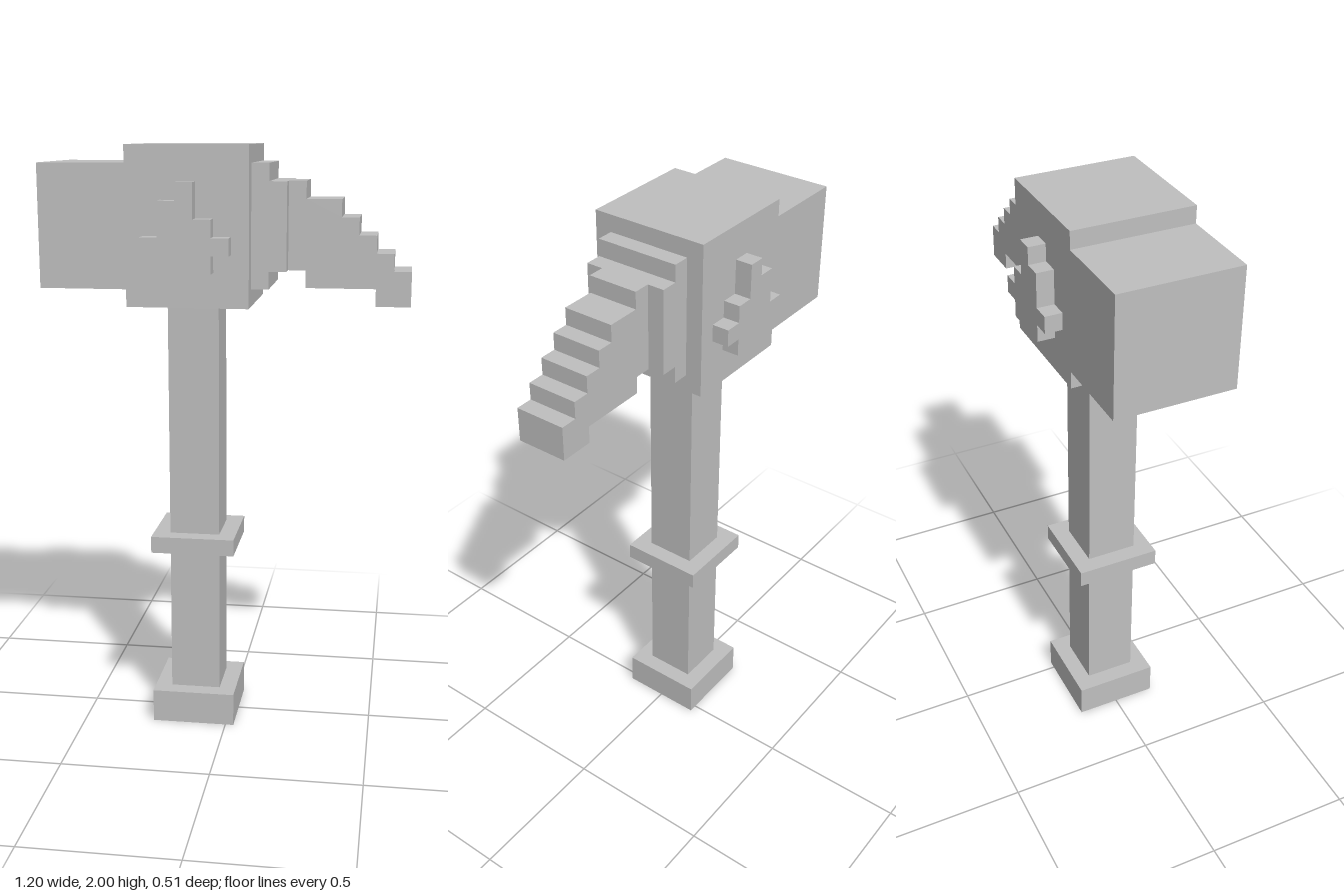
import * as THREE from 'three';

// The model sits on a block grid: 21 units wide, 35 units tall.
const U = 2 / 35;
const X0 = -10.5;

export function createModel() {
  const model = new THREE.Group();
  model.name = 'warHammer';
  const grey = new THREE.MeshStandardMaterial({ color: 0xbfbfbf });
  grey.name = 'plain grey';

  // Box from x0..x1 and y0..y1 in grid units, centred on z with the given depth
  function block(name, x0, x1, y0, y1, depth) {
    const mesh = new THREE.Mesh(new THREE.BoxGeometry((x1 - x0) * U, (y1 - y0) * U, depth * U), grey);
    mesh.position.set((X0 + (x0 + x1) / 2) * U, ((y0 + y1) / 2) * U, 0);
    mesh.name = name;
    model.add(mesh);
  }

  // Stepped plate made from columns [x0, x1, bottom, top], extruded from z0 to z1
  function steppedPlate(name, columns, z0, z1) {
    const tops = columns.flatMap(([a, b, , top]) => [[a, top], [b, top]]);
    const bottoms = columns.flatMap(([a, b, low]) => [[a, low], [b, low]]).reverse();
    const outline = [...tops, ...bottoms]
      .map(([x, y]) => new THREE.Vector2((X0 + x) * U, y * U))
      .filter((p, i, all) => i === 0 || p.distanceTo(all[i - 1]) > 1e-6);
    const geometry = new THREE.ExtrudeGeometry(new THREE.Shape(outline), {
      depth: (z1 - z0) * U, bevelEnabled: false,
    });
    const mesh = new THREE.Mesh(geometry, grey);
    mesh.position.z = z0 * U;
    mesh.name = name;
    model.add(mesh);
  }

  // Handle
  block('pommel', 6, 11, 0, 2, 5);
  block('handle', 7, 10, 2, 26, 3);
  block('handleRing', 6, 11, 11, 12, 5);

  // Head
  block('hammerFace', 0, 5, 27, 34, 7);
  block('headCore', 5, 12, 26, 35, 7);
  block('innerCollar', 12, 13, 27, 34, 5);
  block('outerCollar', 13, 14, 28, 33, 5);

  // Drooping spike behind the collars
  steppedPlate('spike', [
    [14, 15, 28, 33], [15, 17, 27, 32], [17, 18, 27, 31],
    [18, 19, 27, 30], [19, 20, 26, 29], [20, 21, 26, 28],
  ], -1.5, 1.5);

  // Raised flame ornament on both sides of the head
  const flame = [[6, 7, 29, 30], [7, 8, 28, 32], [8, 9, 28, 33], [9, 10, 28, 31], [10, 11, 29, 30]];
  steppedPlate('frontOrnament', flame, 3.5, 4.5);
  steppedPlate('backOrnament', flame, -4.5, -3.5);

  return model;
}
